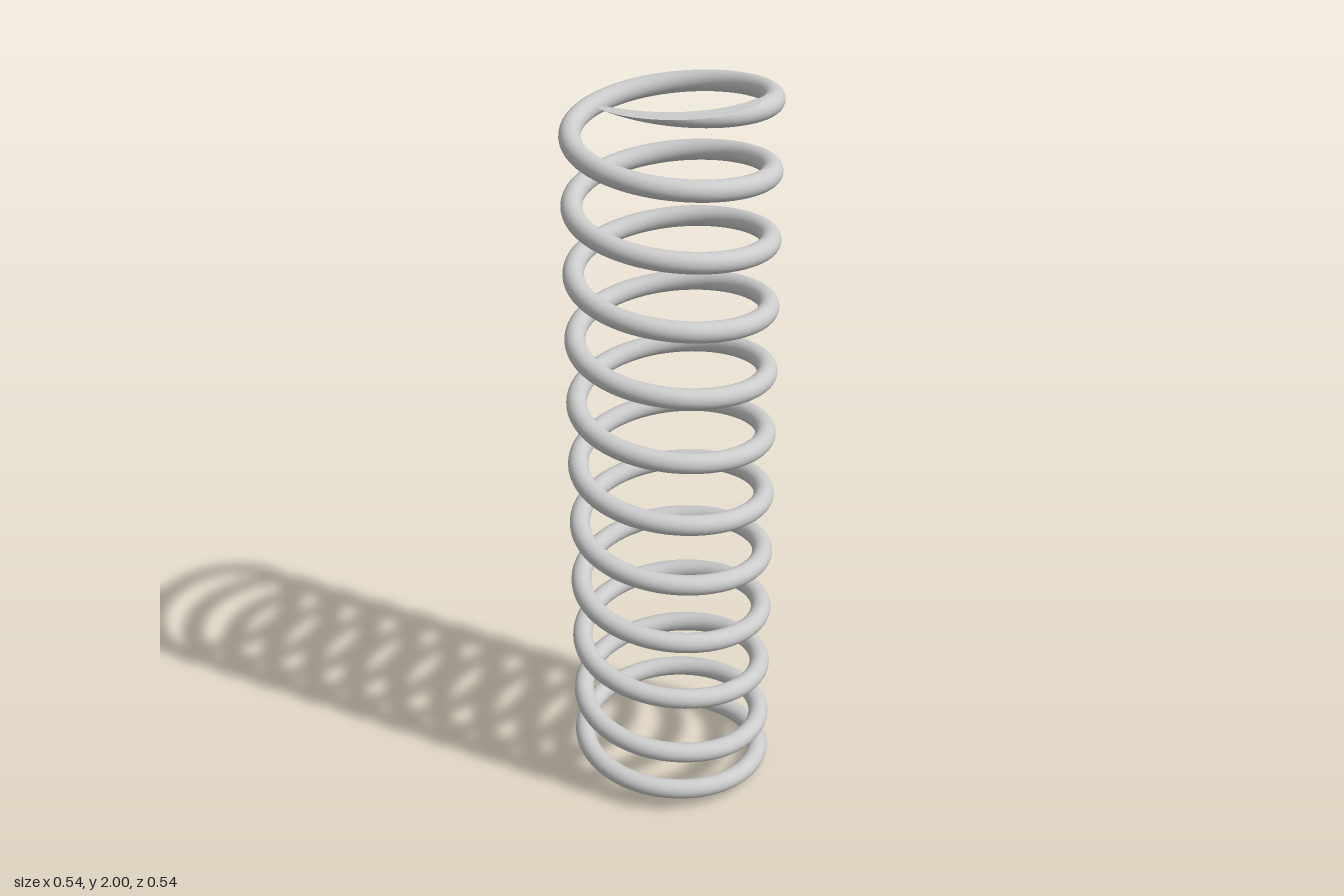
import * as THREE from 'three';
import { toCreasedNormals } from 'three/addons/utils/BufferGeometryUtils.js';

const COIL = 0.2455, WIRE = 0.0268, HEIGHT = 2;
const SIDES = 32, STEPS = 800;
const START = -152 / 360;                    // turns, measured from +x towards +z
const CLOSE_PITCH = 0.12, PITCH = 0.1815, BEND_Y = 0.17;
const END = 1 + (HEIGHT + WIRE - BEND_Y) / PITCH;

// Height of the wire's centre: tighter pitch over the lowest coil
const wireHeight = (turn) => BEND_Y + (turn - 1) * (turn < 1 ? CLOSE_PITCH : PITCH);

// One wire section, ground flat where it passes the bottom or top plane
function section(turn) {
  const a = turn * Math.PI * 2, y = wireHeight(turn), ring = [];
  for (let j = 0; j < SIDES; j++) {
    const p = (j / SIDES) * Math.PI * 2;
    let u = WIRE * Math.cos(p), v = WIRE * Math.sin(p);
    const cut = THREE.MathUtils.clamp(v, -y, HEIGHT - y);
    if (cut !== v) {
      const w = Math.sqrt(Math.max(0, WIRE * WIRE - cut * cut));
      u = THREE.MathUtils.clamp(u, -w, w);
      v = cut;
    }
    ring.push(new THREE.Vector3((COIL + u) * Math.cos(a), y + v, (COIL + u) * Math.sin(a)));
  }
  return ring;
}

function springGeometry() {
  const points = [], index = [];
  for (let i = 0; i <= STEPS; i++) {
    points.push(...section(THREE.MathUtils.lerp(START, END, i / STEPS)));
  }
  for (let i = 0; i < STEPS; i++) {
    for (let j = 0; j < SIDES; j++) {
      const k = (j + 1) % SIDES, a = i * SIDES, b = a + SIDES;
      index.push(a + j, a + k, b + k, a + j, b + k, b + j);
    }
  }
  // Cap on the blunt lower end; the upper end tapers to nothing
  const centre = new THREE.Vector3();
  for (let j = 0; j < SIDES; j++) centre.addScaledVector(points[j], 1 / SIDES);
  points.push(centre);
  for (let j = 0; j < SIDES; j++) index.push(points.length - 1, (j + 1) % SIDES, j);

  const geometry = new THREE.BufferGeometry().setFromPoints(points);
  geometry.setIndex(index);
  // Enlarged while creasing so that close vertices stay distinct
  geometry.scale(100, 100, 100);
  return toCreasedNormals(geometry, 0.5).scale(0.01, 0.01, 0.01);
}

export function createModel() {
  const group = new THREE.Group();
  group.name = 'compressionSpring';
  const coil = new THREE.Mesh(springGeometry(), new THREE.MeshStandardMaterial({ color: 0xcccccc }));
  coil.name = 'springCoil';
  group.add(coil);
  return group;
}
